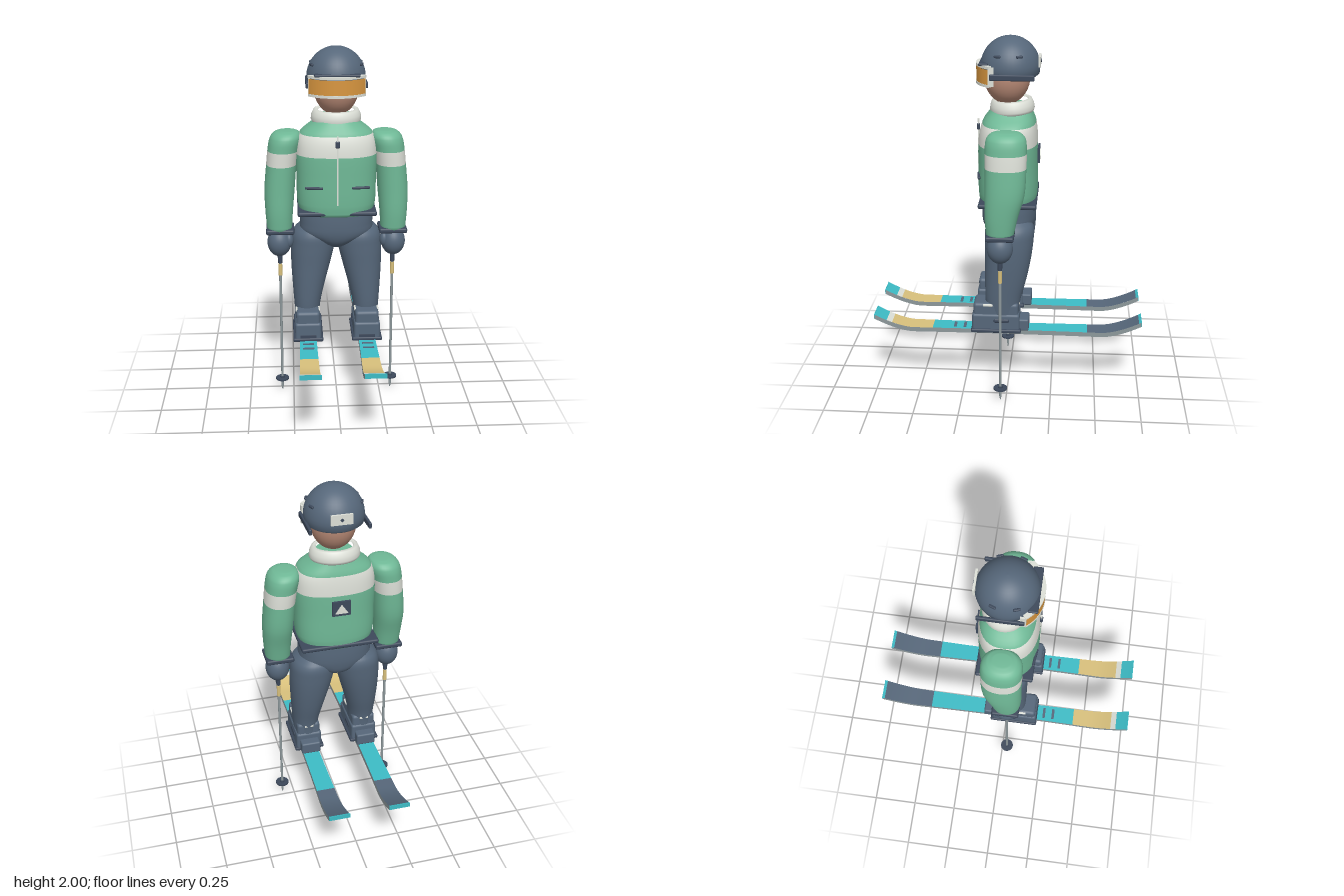
import * as THREE from 'three';
import { RoundedBoxGeometry } from 'three/addons/geometries/RoundedBoxGeometry.js';

const mat = (name, color, side = THREE.FrontSide) => {
  const m = new THREE.MeshStandardMaterial({ color, side });
  m.name = name;
  return m;
};

export function createModel() {
  const M = {
    green: mat('jacketGreen', 0x6fb896),
    light: mat('offWhite', 0xdde0d8),
    navy: mat('slateNavy', 0x56677a),
    dark: mat('darkTrim', 0x3d495b),
    skin: mat('skin', 0xb88a76),
    lens: mat('amberLens', 0xd8963f, THREE.DoubleSide),
    teal: mat('skiTeal', 0x3dbcc6),
    tan: mat('sand', 0xd8c07c),
    grey: mat('metalGrey', 0x8d989b),
  };
  const model = new THREE.Group();
  model.name = 'skier';

  const add = (name, geo, material, pos = [0, 0, 0], parent = model) => {
    const mesh = new THREE.Mesh(geo, material);
    mesh.name = name;
    mesh.position.set(...pos);
    parent.add(mesh);
    return mesh;
  };
  const box = (w, h, d, r = 0) => r ? new RoundedBoxGeometry(w, h, d, 3, r) : new THREE.BoxGeometry(w, h, d);
  const cyl = (r0, r1, h, n = 16) => new THREE.CylinderGeometry(r0, r1, h, n);
  const ball = (x, y, z) => new THREE.SphereGeometry(1, 32, 20).scale(x, y, z);

  // Smooth body through rings [y, cx, cz, rx, rz], bottom to top; band = [y0, y1] takes material 1
  function loft(keys, power, s = 1, band = null) {
    const N = 40, ys = [];
    for (let i = 0; i + 1 < keys.length; i++)
      for (let k = 0; k < 4; k++) ys.push(keys[i][0] + (keys[i + 1][0] - keys[i][0]) * k / 4);
    ys.push(keys.at(-1)[0]);
    if (band) ys.push(...band);
    ys.sort((a, b) => a - b);
    const rows = ys.filter((y, i) => !i || y - ys[i - 1] > 1e-5);
    const sample = y => {
      let i = 0;
      while (i < keys.length - 2 && y > keys[i + 1][0]) i++;
      const a = keys[i], b = keys[i + 1], t = (y - a[0]) / (b[0] - a[0]);
      const p = keys[i - 1] ?? a, q = keys[i + 2] ?? b;
      return [1, 2, 3, 4].map(j => {
        const m0 = (b[j] - p[j]) / (b[0] - p[0]) * (b[0] - a[0]);
        const m1 = (q[j] - a[j]) / (q[0] - a[0]) * (b[0] - a[0]);
        const t2 = t * t, t3 = t2 * t;
        return (2 * t3 - 3 * t2 + 1) * a[j] + (t3 - 2 * t2 + t) * m0 + (3 * t2 - 2 * t3) * b[j] + (t3 - t2) * m1;
      });
    };
    const pos = [], idx = [], geo = new THREE.BufferGeometry();
    const pw = v => Math.sign(v) * Math.abs(v) ** (2 / power);
    rows.forEach((y, r) => {
      const [cx, cz, rx, rz] = sample(y);
      for (let j = 0; j < N; j++) {
        const a = j / N * Math.PI * 2;
        pos.push(cx * s + rx * pw(Math.sin(a)), y, cz + rz * pw(Math.cos(a)));
      }
      if (r + 1 === rows.length) return;
      const mid = (y + rows[r + 1]) / 2;
      geo.addGroup(idx.length, N * 6, band && mid > band[0] && mid < band[1] ? 1 : 0);
      for (let j = 0; j < N; j++) {
        const a = r * N + j, b = r * N + (j + 1) % N;
        idx.push(a, b, b + N, a, b + N, a + N);
      }
    });
    // end caps
    const start = idx.length, top = (rows.length - 1) * N, c = rows.length * N;
    const f = keys[0], l = keys.at(-1);
    pos.push(f[1] * s, f[0], f[2], l[1] * s, l[0], l[2]);
    for (let j = 0; j < N; j++) {
      const k = (j + 1) % N;
      idx.push(c, k, j, c + 1, top + j, top + k);
    }
    geo.addGroup(start, idx.length - start, 0);
    geo.setAttribute('position', new THREE.Float32BufferAttribute(pos, 3));
    geo.setIndex(idx);
    geo.computeVertexNormals();
    return geo;
  }

  // Jacket
  add('jacketBody', loft([[1.1, 0, 0.005, 0.2, 0.155], [1.16, 0, 0.005, 0.215, 0.162], [1.3, 0, 0.006, 0.218, 0.162],
    [1.45, 0, 0.005, 0.22, 0.16], [1.54, 0, 0, 0.198, 0.145], [1.6, 0, -0.01, 0.125, 0.115], [1.63, 0, -0.015, 0.1, 0.1]],
    2.5, 1, [1.43, 1.54]), [M.green, M.light]);
  add('jacketHem', box(0.43, 0.025, 0.315, 0.01), M.dark, [0, 1.115, 0]);
  add('zip', box(0.008, 0.38, 0.01), M.light, [0, 1.36, 0.167]);
  add('zipPull', box(0.024, 0.035, 0.016, 0.006), M.dark, [0, 1.505, 0.168]);
  add('backPatch', box(0.1, 0.085, 0.012), M.dark, [0, 1.36, -0.162]);
  const tri = new THREE.Shape([[-0.036, -0.028], [0.036, -0.028], [0, 0.026]].map(p => new THREE.Vector2(...p)));
  add('backReflector', new THREE.ExtrudeGeometry(tri, { depth: 0.005, bevelEnabled: false }), M.light, [0, 1.36, -0.172]);
  const collar = [[0.1, 0], [0.13, 0], [0.137, 0.015], [0.134, 0.04], [0.122, 0.066], [0.108, 0.072], [0.098, 0.06]];
  add('collar', new THREE.LatheGeometry(collar.map(p => new THREE.Vector2(...p)), 40).scale(1, 1, 0.88),
    M.light, [0, 1.595, -0.017]).rotation.x = 0.06;

  // Trousers seat
  add('hips', loft([[0.9, 0, -0.005, 0.05, 0.08], [0.93, 0, -0.003, 0.1, 0.125], [0.98, 0, 0, 0.192, 0.145],
    [1.04, 0, 0, 0.202, 0.15], [1.11, 0, 0, 0.2, 0.148]], 2.4), M.navy);

  // Head, helmet and goggles
  add('head', ball(0.122, 0.15, 0.124), M.skin, [0, 1.785, 0.012]);
  const shell = [[0.0001, 0], [0.14, 0], [0.155, 0.012]];
  for (let i = 0; i <= 14; i++) {
    const a = i / 14 * Math.PI / 2;
    shell.push([Math.max(0.0001, 0.159 * Math.cos(a)), 0.045 + 0.165 * Math.sin(a)]);
  }
  add('helmet', new THREE.LatheGeometry(shell.map(p => new THREE.Vector2(...p)), 40), M.navy, [0, 1.79, -0.005]);
  add('helmetBrim', box(0.24, 0.014, 0.05, 0.006), M.dark, [0, 1.865, 0.13]);
  add('helmetBackPlate', box(0.115, 0.055, 0.012), M.light, [0, 1.87, -0.161]);
  add('helmetBackStud', box(0.014, 0.014, 0.006), M.dark, [0, 1.87, -0.169]).rotation.z = Math.PI / 4;
  const arc = (r, h, half) => new THREE.CylinderGeometry(r, r, h, 32, 1, true, -half, half * 2);
  add('goggleLens', arc(0.188, 0.08, 0.91), M.lens, [0, 1.805, -0.012]);
  const rim = new THREE.Shape();
  rim.absarc(0, 0, 0.19, Math.PI / 2 - 0.94, Math.PI / 2 + 0.94);
  rim.absarc(0, 0, 0.165, Math.PI / 2 + 0.94, Math.PI / 2 - 0.94, true);
  const rimGeo = new THREE.ExtrudeGeometry(rim, { depth: 0.014, bevelEnabled: false, curveSegments: 24 }).rotateX(Math.PI / 2);
  for (const y of [1.766, 1.862]) add('goggleRim', rimGeo, M.light, [0, y, -0.012]);

  // Ski strip between two edge curves
  const SKI = 0.165, half = z => 0.046 + 0.011 * (z / 0.75) ** 2;
  const base = z => 0.36 + 0.075 * Math.max(0, (Math.abs(z) - 0.53) / 0.22) ** 1.6;
  function strip(z0, z1, edgeA, edgeB) {
    const n = Math.max(2, Math.ceil((z1 - z0) / 0.03)), pos = [], idx = [];
    for (let i = 0; i <= n; i++) {
      const z = z0 + (z1 - z0) * i / n;
      pos.push(...edgeA(z), z, ...edgeB(z), z);
      if (i < n) idx.push(2 * i, 2 * i + 2, 2 * i + 3, 2 * i, 2 * i + 3, 2 * i + 1);
    }
    const g = new THREE.BufferGeometry();
    g.setAttribute('position', new THREE.Float32BufferAttribute(pos, 3));
    g.setIndex(idx);
    g.computeVertexNormals();
    return g;
  }
  const corner = (sx, up) => z => [sx * half(z), base(z) + up * 0.026];
  const zones = [[-0.75, -0.735, 'teal'], [-0.735, -0.45, 'navy'], [-0.45, 0.42, 'teal'],
    [0.42, 0.65, 'tan'], [0.65, 0.68, 'light'], [0.68, 0.75, 'teal']];

  for (const s of [1, -1]) {
    const side = s > 0 ? 'left' : 'right';
    const group = name => {
      const g = new THREE.Group();
      g.name = side + name;
      model.add(g);
      return g;
    };

    // Arm, cuff and mitten
    const arm = group('Arm');
    add('sleeve', loft([[0.99, 0.315, 0.03, 0.068, 0.072], [1.1, 0.316, 0.022, 0.076, 0.088], [1.22, 0.312, 0.005, 0.083, 0.104],
      [1.36, 0.3, 0, 0.083, 0.108], [1.45, 0.288, 0, 0.085, 0.109], [1.51, 0.275, 0, 0.085, 0.104],
      [1.54, 0.268, 0, 0.066, 0.08], [1.55, 0.264, 0, 0.035, 0.045]], 2.2, s, [1.365, 1.442]), [M.green, M.light], [0, 0, 0], arm);
    add('cuff', box(0.155, 0.028, 0.15, 0.01), M.dark, [s * 0.312, 0.996, 0.028], arm);
    add('mitten', ball(0.067, 0.082, 0.07), M.navy, [s * 0.318, 0.92, 0.03], arm);
    add('thumb', ball(0.024, 0.042, 0.03), M.navy, [s * 0.264, 0.935, 0.05], arm);

    // Ski pole
    const pole = group('Pole');
    const px = s * 0.316;
    add('shaft', cyl(0.008, 0.007, 0.83), M.grey, [px, 0.435, 0.03], pole);
    add('tip', cyl(0.007, 0.003, 0.03), M.grey, [px, 0.015, 0.03], pole);
    add('grip', cyl(0.015, 0.012, 0.06), M.dark, [px, 0.825, 0.03], pole);
    add('gripBand', cyl(0.011, 0.011, 0.07), M.tan, [px, 0.755, 0.03], pole);
    add('basket', cyl(0.038, 0.038, 0.009, 24), M.dark, [px, 0.072, 0.03], pole);
    add('basketHub', cyl(0.014, 0.014, 0.025), M.dark, [px, 0.072, 0.03], pole);

    // Leg
    add(side + 'Leg', loft([[0.42, 0.165, 0.02, 0.064, 0.085], [0.55, 0.166, 0.025, 0.073, 0.097], [0.68, 0.156, 0.01, 0.092, 0.115],
      [0.8, 0.143, -0.002, 0.111, 0.127], [0.91, 0.13, -0.008, 0.123, 0.134], [0.98, 0.122, -0.01, 0.117, 0.13],
      [1.03, 0.11, -0.01, 0.075, 0.09]], 2.2, s), M.navy);

    // Boot and binding
    const boot = group('Boot');
    boot.position.x = s * SKI;
    add('lowerShell', box(0.146, 0.105, 0.265, 0.015), M.navy, [0, 0.437, 0.062], boot);
    add('upperShell', box(0.132, 0.14, 0.25, 0.018), M.navy, [0, 0.482, 0.062], boot);
    add('sole', box(0.168, 0.022, 0.28, 0.008), M.dark, [0, 0.391, 0.06], boot);
    add('heelBinding', box(0.11, 0.07, 0.06, 0.01), M.navy, [0, 0.419, -0.092], boot);
    add('toeBinding', box(0.1, 0.03, 0.03, 0.008), M.dark, [0, 0.41, 0.18], boot);
    add('topBuckle', box(0.138, 0.014, 0.055, 0.005), M.light, [0, 0.541, 0.105], boot);
    add('heelTab', box(0.05, 0.012, 0.016), M.light, [0, 0.54, -0.062], boot);
    add('sideBuckle', box(0.158, 0.024, 0.085, 0.008), M.dark, [0, 0.452, 0.03], boot);

    // Ski
    const ski = group('Ski');
    ski.position.x = s * SKI;
    for (const [a, b, c] of zones) add('topSheet', strip(a, b, corner(-1, 1), corner(1, 1)), M[c], [0, 0, 0], ski);
    add('skiBase', strip(-0.75, 0.75, corner(1, 0), corner(-1, 0)), M.teal, [0, 0, 0], ski);
    add('skiEdge', strip(-0.75, 0.75, corner(1, 1), corner(1, 0)), M.grey, [0, 0, 0], ski);
    add('skiEdge', strip(-0.75, 0.75, corner(-1, 0), corner(-1, 1)), M.grey, [0, 0, 0], ski);
    for (const e of [1, -1])
      add('skiEnd', box(0.114, 0.026, 0.003), M.teal, [0, 0.448, e * 0.7485], ski);
    for (const z of [0.24, 0.295]) add('skiStripe', box(0.062, 0.004, 0.015), M.navy, [0, 0.387, z], ski);

    // Pocket, goggle strap and helmet vents
    add(side + 'Pocket', box(0.098, 0.014, 0.014, 0.005), M.dark, [s * 0.126, 1.265, 0.157]).rotation.y = s * 0.12;
    add(side + 'GoggleStrap', box(0.016, 0.032, 0.235, 0.006), M.dark, [s * 0.156, 1.806, -0.022]);
    add(side + 'GoggleHinge', box(0.01, 0.1, 0.03), M.light, [s * 0.147, 1.808, 0.088]);
    for (const z of [0.055, -0.06]) {
      const vent = add(side + 'Vent', box(0.014, 0.014, 0.036, 0.005), M.dark, [s * 0.132, 1.91, z]);
      vent.rotation.y = -s * z * 6;
    }
  }
  return model;
}
